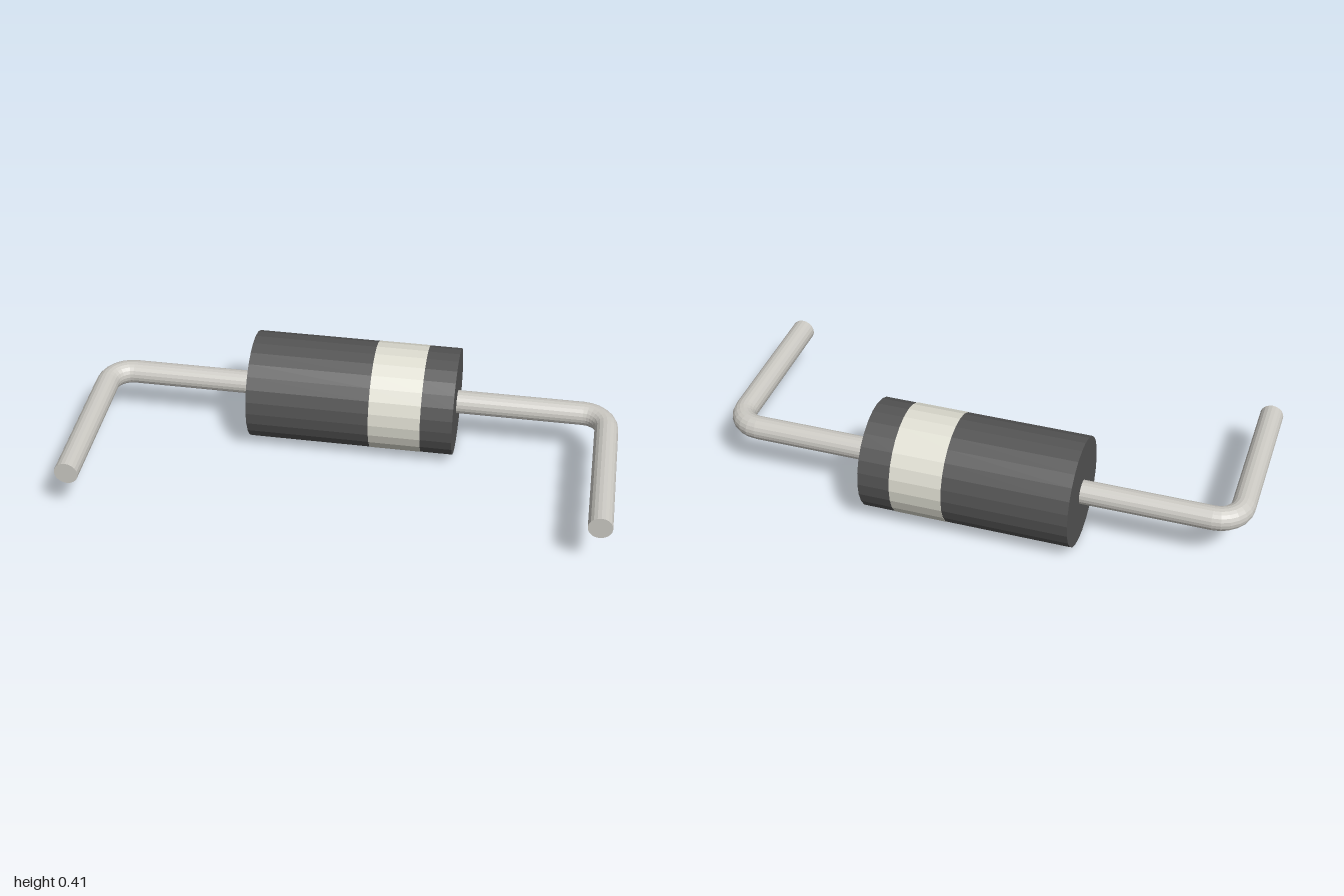
import * as THREE from 'three';

const AXIS_Y = 0.204, AXIS_Z = -0.226;
const WIRE_R = 0.044, BEND_R = 0.09, LEG_X = 0.956, LEG_END = 0.428;
const WIRE_SIDES = 20;

const paint = (color) => new THREE.MeshStandardMaterial({ color, flatShading: true });

function addMesh(parent, name, geometry, material) {
  const mesh = new THREE.Mesh(geometry, material);
  mesh.name = name;
  parent.add(mesh);
  return mesh;
}

// Cylinder lying along x, with a corner of its section pointing at the back
function cylinderX(radius, x0, x1, sides) {
  return new THREE.CylinderGeometry(radius, radius, x1 - x0, sides)
    .rotateY(Math.PI)
    .rotateZ(-Math.PI / 2)
    .translate((x0 + x1) / 2, AXIS_Y, AXIS_Z);
}

export function createModel() {
  const model = new THREE.Group();
  model.name = 'axialComponent';
  const dark = paint(0x555555), pale = paint(0xe0dfd3), metal = paint(0xcccac4);

  // Body in two dark lengths with the pale marking band between them
  addMesh(model, 'bodyMain', cylinderX(0.2035, -0.39, 0.075, 26), dark);
  addMesh(model, 'bodyEnd', cylinderX(0.2035, 0.27, 0.39, 26), dark);
  addMesh(model, 'markingBand', cylinderX(0.2045, 0.075, 0.27, 26), pale);

  // Wire leads: straight out of the body, a quarter bend, then forward
  for (const side of [1, -1]) {
    const lead = new THREE.Group();
    lead.name = side > 0 ? 'leftLead' : 'rightLead';
    model.add(lead);

    const bendX = LEG_X - BEND_R, bendZ = AXIS_Z + BEND_R;
    const inner = side > 0 ? [0.38, bendX] : [-bendX, -0.38];
    addMesh(lead, 'leadShaft', cylinderX(WIRE_R, ...inner, WIRE_SIDES), metal);

    const bend = new THREE.TorusGeometry(BEND_R, WIRE_R, WIRE_SIDES, 6, Math.PI / 2);
    if (side < 0) bend.rotateZ(Math.PI / 2);
    bend.rotateX(-Math.PI / 2).translate(side * bendX, AXIS_Y, bendZ);
    addMesh(lead, 'leadBend', bend, metal);

    const length = LEG_END - bendZ;
    const leg = new THREE.CylinderGeometry(WIRE_R, WIRE_R, length, WIRE_SIDES)
      .rotateX(Math.PI / 2)
      .translate(side * LEG_X, AXIS_Y, bendZ + length / 2);
    addMesh(lead, 'leadLeg', leg, metal);
  }
  return model;
}
